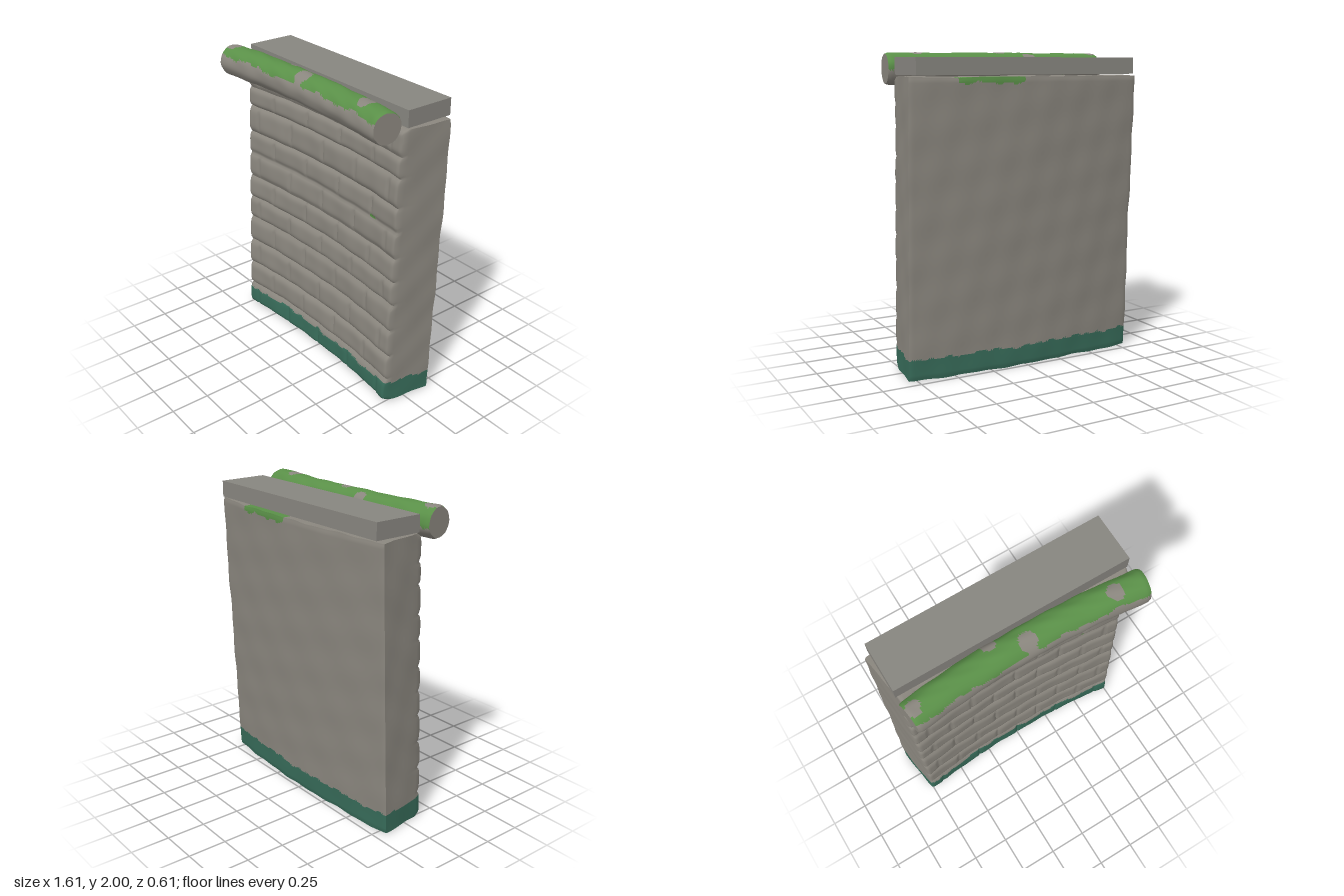
import * as THREE from 'three';
import { mergeVertices, toCreasedNormals } from 'three/addons/utils/BufferGeometryUtils.js';

const R = 6.2; // plan radius of the curved wall
const RAIL_LENGTH = 1.58;

const mat = (name, color) => {
  const m = new THREE.MeshStandardMaterial({ color });
  m.name = name;
  return m;
};

// Smooth repeatable bumps, roughly -1..1
const bumps = (x, y, z) =>
  (Math.sin(x * 9.1 + y * 4.3 + z * 7) + Math.sin(x * 17.3 - y * 13.1 + 1.7) +
   Math.sin(y * 23.7 + z * 19 + x * 5.2 + 0.6) + Math.sin(x * 31 + y * 8.3 - z * 27)) / 4;

// Sweep a straight piece round the curve, ends coming forward
const bend = (v) => {
  const a = v.x / R, r = R - v.z;
  return v.set(Math.sin(a) * r, v.y, R - Math.cos(a) * r);
};

// Move every vertex by a rule, then smooth the normals
function shape(geometry, rule) {
  geometry.deleteAttribute('uv');
  geometry.deleteAttribute('normal');
  geometry.clearGroups();
  const g = mergeVertices(geometry);
  const p = g.attributes.position, v = new THREE.Vector3();
  for (let i = 0; i < p.count; i++) {
    rule(v.fromBufferAttribute(p, i));
    p.setXYZ(i, v.x, v.y, v.z);
  }
  return toCreasedNormals(g, 0.95);
}

// Sort triangles into material groups by their centre
function paint(g, count, pick) {
  const p = g.attributes.position, lists = Array.from({ length: count }, () => []);
  for (let i = 0; i < p.count; i += 3) {
    const c = [0, 1, 2].map((k) => new THREE.Vector3().fromBufferAttribute(p, i + k));
    const mid = c[0].add(c[1]).add(c[2]).divideScalar(3);
    lists[pick(mid)].push(i, i + 1, i + 2);
  }
  g.setIndex(lists.flat());
  let start = 0;
  lists.forEach((l, k) => {
    g.addGroup(start, l.length, k);
    start += l.length;
  });
  return g;
}

// Course seams and the two alternating sets of upright joints
const seams = [0, 0.17, 0.345, 0.53, 0.715, 0.875, 1.04, 1.215, 1.37, 1.555, 1.69, 1.86];
const joints = [[-0.67, -0.335, 0, 0.335, 0.67], [-0.51, -0.17, 0.17, 0.51]];

// How far the front is cut back at a point
function stoneRelief(x, y) {
  let row = 0;
  while (row < seams.length - 2 && y > seams[row + 1]) row++;
  const t = ((y - seams[row]) / (seams[row + 1] - seams[row])) * 2 - 1;
  let cut = 0.024 * Math.pow(Math.min(1, Math.abs(t)), 5);
  for (const j of joints[row % 2]) {
    cut = Math.max(cut, 0.011 * Math.exp(-Math.pow((x - j) / 0.012, 2)));
  }
  return cut;
}

function wallGeometry() {
  const H = 1.86, W = 1.56, back = -0.235, front = 0.108;
  const box = new THREE.BoxGeometry(W, H, front - back, 120, 140, 8);
  return shape(box, (v) => {
    const { x } = v, y = v.y + H / 2, depth = v.z / (front - back) + 0.5;
    const z = back + depth * (front - back);
    const n = bumps(x, y, z);
    const edge = Math.max(0, Math.abs(x) / (W / 2) - 0.975) / 0.025;
    const nearFront = Math.pow(depth, 5);
    const nearBack = Math.pow(1 - depth, 5);
    const nearTop = THREE.MathUtils.smoothstep(y, H - 0.03, H);
    const nearBase = 1 - THREE.MathUtils.smoothstep(y, 0, 0.03);
    // masonry in front, gentle lumps behind, softened edges all round
    const soft = 0.012 * (edge + nearTop + nearBase);
    const dz = nearFront * (0.006 * n - stoneRelief(x, y) - soft) +
      nearBack * (0.004 * n + 0.4 * soft);
    const dx = -Math.sign(x) * edge * (0.004 + 0.005 * n + 0.006 * nearFront);
    const dy = y > H / 2 ? nearTop * 0.006 * (n - 1) : nearBase * 0.006 * (n + 1);
    v.set(x + dx, y + dy, z + dz);
    bend(v);
    v.z -= 0.07 * (y / H); // backward lean
  });
}

function railGeometry() {
  const r = 0.1, half = RAIL_LENGTH / 2;
  const log = new THREE.CylinderGeometry(r, r, RAIL_LENGTH, 40, 110).rotateZ(Math.PI / 2);
  return shape(log, (v) => {
    const end = THREE.MathUtils.smoothstep(Math.abs(v.x), half - 0.02, half);
    const s = 1 + 0.045 * bumps(v.x, v.y * 3, v.z * 3) - 0.08 * end;
    v.set(v.x, 1.9 + v.y * s, 0.155 + v.z * s);
    bend(v);
  });
}

export function createModel() {
  const stone = mat('stone', 0x8a867e);
  const slabGrey = mat('slabGrey', 0x87857f);
  const algae = mat('algae', 0x376b59);
  const moss = mat('moss', 0x5a9048);

  const model = new THREE.Group();
  model.name = 'stoneWall';
  const add = (name, geometry, material) => {
    const mesh = new THREE.Mesh(geometry, material);
    mesh.name = name;
    model.add(mesh);
    return mesh;
  };

  // Curved masonry wall with a damp base and a little moss at the top
  add('wall', paint(wallGeometry(), 3, ({ x, y, z }) => {
    const n = bumps(x * 2, 0, z * 2);
    if (y < 0.137 + 0.016 * n) return 1;
    const topMoss = z < -0.22 && x > 0.05 && x < 0.5 && y > 1.82 + 0.02 * n;
    const speck = z > 0 && Math.hypot((x - 0.51) / 0.03, (y - 1.22) / 0.012) < 1;
    return topMoss || speck ? 2 : 0;
  }), [stone, algae, moss]);

  // Rounded coping log, mossy on top with bare patches
  const bare = [[0, 0.19, 0.055], [0.57, 0.19, 0.05], [-0.73, 0.2, 0.045], [-0.2, 0.085, 0.045]];
  add('copingRail', paint(railGeometry(), 2, ({ x, y, z }) => {
    const localZ = z - 0.155 - (x * x) / (2 * R);
    const n = bumps(x * 2, 1, z * 3);
    const worn = bare.some(([bx, bz, br]) => Math.hypot(x - bx, z - bz) < br * (1 + 0.3 * n));
    const cap = Math.abs(Math.atan2(x, R - z)) * R > RAIL_LENGTH / 2 - 0.004;
    return !worn && !cap && y > 1.915 + 0.35 * localZ + 0.022 * n ? 1 : 0;
  }), [stone, moss]);

  // Plain flat slab along the wall top
  add('topSlab', new THREE.BoxGeometry(1.535, 0.105, 0.323), slabGrey)
    .position.set(-0.002, 1.918, -0.114);

  return model;
}
